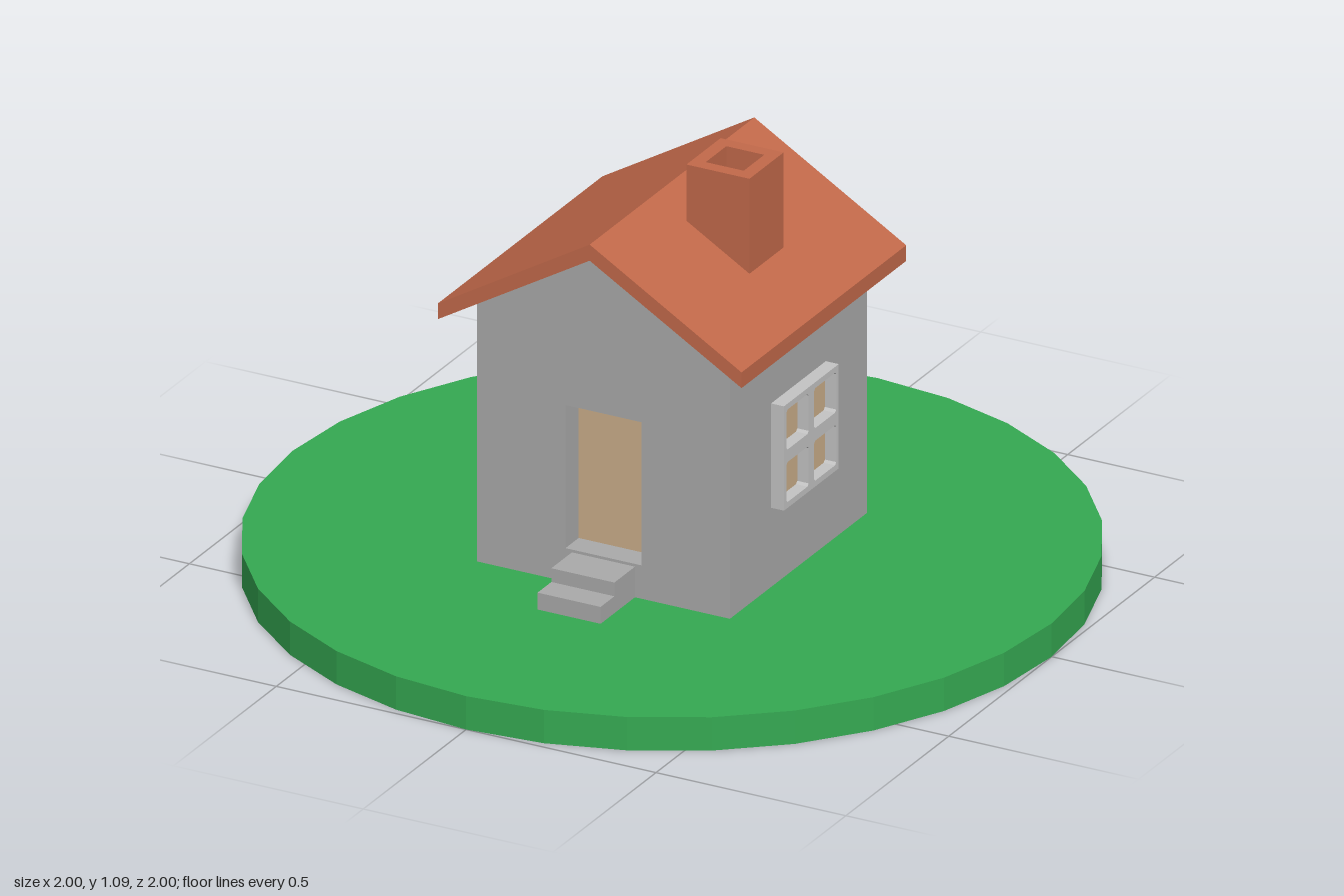
import * as THREE from 'three';

const mat = (name, color) => {
  const m = new THREE.MeshStandardMaterial({ color, flatShading: true });
  m.name = name;
  return m;
};

// Closed outline from [x, y] points
const outline = (pts, Type = THREE.Shape) => new Type(pts.map(([x, y]) => new THREE.Vector2(x, y)));

const rect = (x0, y0, x1, y1) => [[x0, y0], [x1, y0], [x1, y1], [x0, y1]];

// Rectangle with small cut corners
const softRect = (x0, y0, x1, y1, c) => [
  [x0 + c, y0], [x1 - c, y0], [x1, y0 + c], [x1, y1 - c],
  [x1 - c, y1], [x0 + c, y1], [x0, y1 - c], [x0, y0 + c],
];

// Extrudes an outline with optional holes from z0 to z1
function slab(pts, z0, z1, holes = []) {
  const shape = outline(pts);
  shape.holes = holes.map((h) => outline(h, THREE.Path));
  const geo = new THREE.ExtrudeGeometry(shape, { depth: z1 - z0, bevelEnabled: false });
  return geo.translate(0, 0, z0);
}

export function createModel() {
  const grass = mat('grass green', 0x35a952);
  const stone = mat('wall grey', 0xaaaaaa);
  const tile = mat('roof terracotta', 0xc2694a);
  const trim = mat('window frame light grey', 0xc4c4c4);
  const wood = mat('door tan', 0xcaae8a);

  const model = new THREE.Group();
  model.name = 'cottage';
  const add = (name, geo, material, parent = model) => {
    const mesh = new THREE.Mesh(geo, material);
    mesh.name = name;
    parent.add(mesh);
    return mesh;
  };
  const box = (name, x0, x1, y0, y1, z0, z1, material, parent) => {
    const geo = new THREE.BoxGeometry(x1 - x0, y1 - y0, z1 - z0);
    return add(name, geo.translate((x0 + x1) / 2, (y0 + y1) / 2, (z0 + z1) / 2), material, parent);
  };

  // Round lawn
  const base = 0.085;
  add('lawn', new THREE.CylinderGeometry(1, 1, base, 32).translate(0, base / 2, 0), grass);

  // Gabled walls, with the doorway cut into the front layer
  const w = 0.333;
  const gable = [[-w, base], [w, base], [w, 0.758], [0, 0.955], [-w, 0.758]];
  const recess = 0.263;
  add('walls', slab(gable, -w, recess), stone);
  add('frontWall', slab(gable, recess, w, [rect(-0.1, 0.17, 0.1, 0.535)]), stone);
  box('door', -0.1, 0.1, 0.17, 0.535, recess, recess + 0.006, wood);

  // Roof with overhanging eaves cut off vertically
  add('roof', slab([
    [-0.4, 0.715], [0, 0.952], [0.4, 0.715], [0.4, 0.755], [0, 0.993], [-0.4, 0.755],
  ], -0.4, 0.4), tile);

  // Hollow chimney
  const chimney = new THREE.Group();
  chimney.name = 'chimney';
  model.add(chimney);
  const stack = slab(rect(-0.083, -0.083, 0.083, 0.083), 0, 0.29, [rect(-0.05, -0.05, 0.05, 0.05)]);
  add('chimneyStack', stack.rotateX(-Math.PI / 2).translate(0.166, 0.797, 0), tile, chimney);
  box('flueFloor', 0.115, 0.217, 0.85, 0.95, -0.051, 0.051, tile, chimney);

  // Front steps
  box('upperStep', -0.083, 0.083, base, 0.163, w, 0.433, stone);
  box('lowerStep', -0.083, 0.083, base, 0.128, 0.433, 0.5, stone);

  // Four-pane window, drawn facing front and turned onto the left wall
  const win = new THREE.Group();
  win.name = 'window';
  win.position.set(w, 0.42, 0);
  win.rotation.y = Math.PI / 2;
  model.add(win);
  const panes = [];
  for (const sx of [-1, 1]) {
    for (const sy of [-1, 1]) {
      const [x, y] = [sx * 0.067, sy * 0.067];
      panes.push(softRect(x - 0.054, y - 0.051, x + 0.054, y + 0.051, 0.006));
    }
  }
  add('windowFrame', slab(rect(-0.133, -0.133, 0.133, 0.133), 0, 0.034, panes), trim, win);
  for (const p of panes) add('windowPane', slab(p, 0, 0.004), wood, win);

  return model;
}
